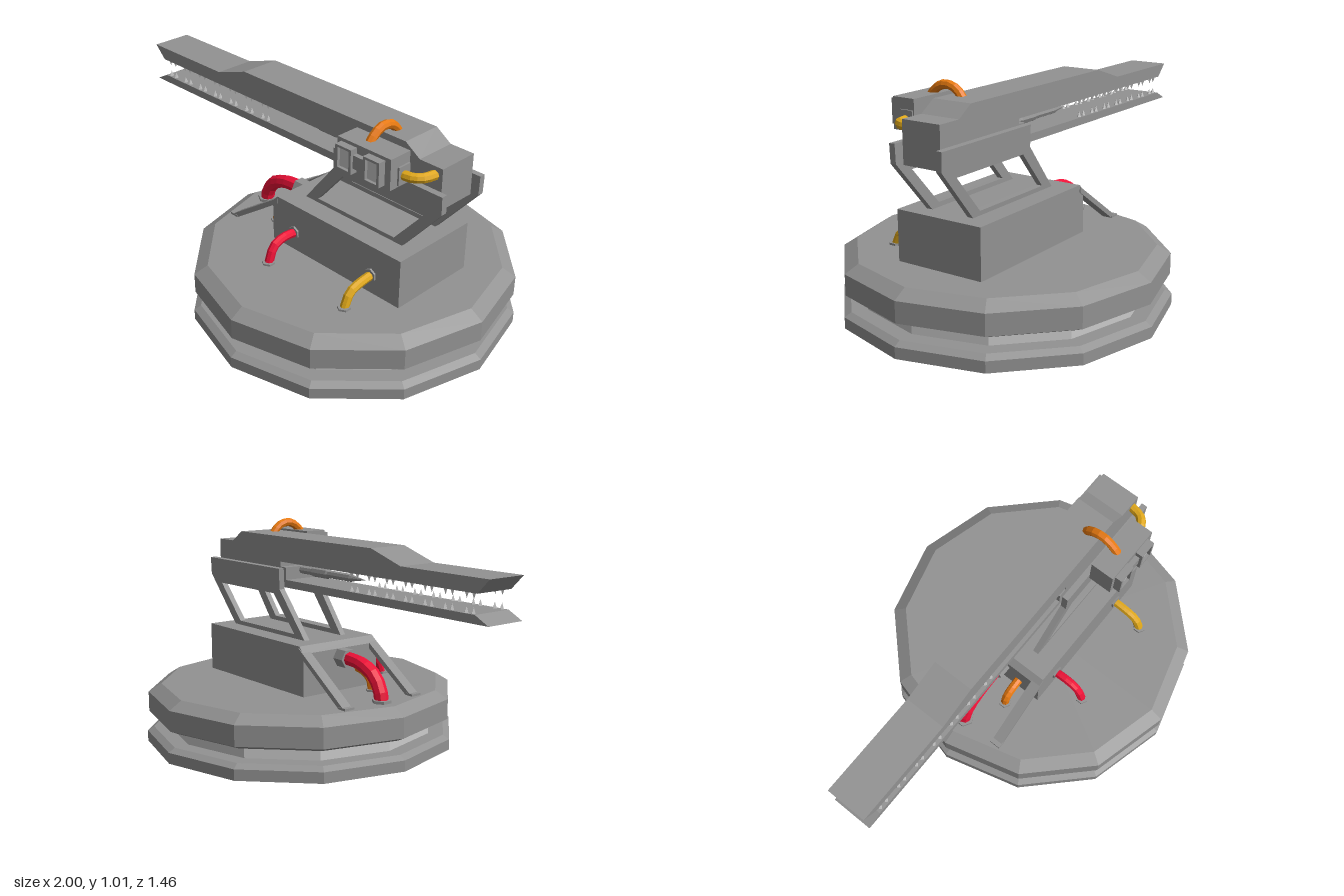
import * as THREE from 'three';

const paint = (c) => new THREE.MeshStandardMaterial({ color: c, flatShading: true });
const grey = paint(0x929292), pale = paint(0xcccccc);
const red = paint(0xf01238), orange = paint(0xe87a10), yellow = paint(0xe0a81a);
const V = (x, y, z) => new THREE.Vector3(x, y, z);
const toPoints = (list) => list.map(([x, y]) => new THREE.Vector2(x, y));

export function createModel() {
  const model = new THREE.Group();

  const add = (name, geometry, material = grey) => {
    const mesh = new THREE.Mesh(geometry, material);
    mesh.name = name;
    model.add(mesh);
    return mesh;
  };
  // box given by its limits on each axis
  const box = (name, x0, x1, y0, y1, z0, z1, material) =>
    add(name, new THREE.BoxGeometry(x1 - x0, y1 - y0, z1 - z0)
      .translate((x0 + x1) / 2, (y0 + y1) / 2, (z0 + z1) / 2), material);
  // side outline extruded between two z values
  const slab = (name, outline, z0, z1, hole) => {
    const shape = new THREE.Shape(toPoints(outline));
    if (hole) shape.holes.push(new THREE.Path(toPoints(hole)));
    return add(name, new THREE.ExtrudeGeometry(shape, { depth: z1 - z0, bevelEnabled: false })
      .translate(0, 0, z0));
  };
  const hose = (name, points, radius, material) =>
    add(name, new THREE.TubeGeometry(new THREE.CatmullRomCurve3(points), 7, radius, 8), material);
  const collar = (name, x, y, z, r, h, axis = 'y') => {
    const g = new THREE.CylinderGeometry(r, r, h, 6);
    if (axis === 'x') g.rotateZ(Math.PI / 2);
    if (axis === 'z') g.rotateX(Math.PI / 2);
    return add(name, g.translate(x, y, z));
  };
  const ring = (name, profile, material) =>
    add(name, new THREE.LatheGeometry(toPoints(profile), 12), material).position.x = 0.267;

  // twelve-sided turntable: two discs around a pale core
  ring('lowerDisc', [[0, 0], [0.73, 0], [0.73, 0.05], [0.7, 0.068], [0, 0.068]]);
  ring('turntableCore', [[0.63, 0.06], [0.63, 0.135]], pale);
  ring('upperDisc', [[0, 0.126], [0.68, 0.126], [0.72, 0.145], [0.72, 0.238], [0.66, 0.275], [0, 0.275]]);

  // pedestal with a chamfered top left edge
  slab('pedestal', [[-0.03, 0.27], [0.72, 0.27], [0.72, 0.5], [0, 0.5], [-0.03, 0.47]], -0.213, 0.213);

  // long jawed beam
  slab('jawBeam', [
    [-1, 0.898], [-0.94, 0.838], [0.295, 0.838], [0.295, 0.815], [0.255, 0.815], [0.255, 0.757],
    [-0.93, 0.757], [-1, 0.722], [0.805, 0.722], [0.805, 0.905], [0.69, 0.905],
    [0.615, 0.955], [-0.34, 0.955], [-0.52, 0.898],
  ], -0.095, 0.093);

  // teeth in pairs along both edges of both jaws
  const tooth = new THREE.ConeGeometry(0.012, 0.03, 4);
  for (let i = 0; i < 7; i++) {
    for (const dx of [0, 0.037]) {
      for (const z of [-0.08, 0.078]) {
        const x = -0.91 + i * 0.112 + dx;
        add('lowerTooth', tooth, pale).position.set(x, 0.768, z);
        const upper = add('upperTooth', tooth, pale);
        upper.position.set(x, 0.827, z);
        upper.rotation.x = Math.PI;
      }
    }
  }

  // pointed rod in the middle of the jaws
  add('pointedRod', new THREE.LatheGeometry(toPoints([
    [0, 0], [0.018, 0], [0.018, 0.09], [0.023, 0.1], [0.023, 0.2], [0.018, 0.21],
    [0.018, 0.36], [0.013, 0.38], [0, 0.46],
  ]), 8).rotateZ(Math.PI / 2)).position.set(0.26, 0.797, 0);

  for (const s of [-1, 1]) {
    // lifting frame, leaning slightly outward
    const frame = slab('liftFrame', [
      [0.08, -0.155], [0.64, -0.155], [0.84, 0.08], [0.84, 0.162], [0.26, 0.162], [0.26, 0.065],
    ], -0.014, 0.014, [[0.16, -0.13], [0.31, 0.042], [0.75, 0.042], [0.6, -0.13]]);
    frame.position.set(0, 0.65, s * 0.111);
    frame.rotation.x = s * 0.038;
    // brace from pedestal down to turntable
    slab('brace', [[-0.325, 0.27], [-0.285, 0.27], [0, 0.465], [0, 0.492]],
      s * 0.193 - 0.024, s * 0.193 + 0.024);
    box('braceFoot', -0.325, -0.28, 0.27, 0.285, s * 0.193 - 0.026, s * 0.193 + 0.026);
  }

  // sight unit on the left side of the beam
  box('sightBody', 0.4, 0.68, 0.822, 0.957, 0.14, 0.25);
  for (const x of [0.462, 0.609]) {
    slab('sightRim', [[x - 0.042, 0.835], [x + 0.042, 0.835], [x + 0.042, 0.943], [x - 0.042, 0.943]], 0.25, 0.284,
      [[x - 0.03, 0.845], [x - 0.03, 0.933], [x + 0.03, 0.933], [x + 0.03, 0.845]]);
    box('sightLens', x - 0.03, x + 0.03, 0.845, 0.933, 0.25, 0.27, pale);
  }
  box('sightBridge', 0.504, 0.567, 0.86, 0.918, 0.25, 0.272);
  box('sightSocket', 0.68, 0.688, 0.83, 0.91, 0.145, 0.21);

  // hoses on the beam
  hose('topHose', [V(0.515, 0.945, 0.025), V(0.515, 0.98, 0.055), V(0.515, 0.996, 0.108),
    V(0.515, 0.98, 0.155), V(0.515, 0.945, 0.19)], 0.02, orange);
  hose('rearHose', [V(0.675, 0.868, 0.18), V(0.72, 0.868, 0.175), V(0.755, 0.868, 0.145),
    V(0.77, 0.868, 0.08)], 0.021, yellow);

  // hoses from the pedestal front to the turntable
  for (const [x, rise, material] of [[0.108, 0.012, red], [0.565, 0, yellow]]) {
    hose('frontHose', [V(x, 0.362, 0.21), V(x, 0.356 + rise, 0.27), V(x, 0.336 + rise, 0.335),
      V(x, 0.27, 0.37)], 0.02, material);
    collar('hoseSocket', x, 0.365, 0.216, 0.03, 0.012, 'z');
    collar('hoseFoot', x, 0.278, 0.37, 0.03, 0.012);
  }

  // hoses on the pedestal end
  hose('endHoseLarge', [V(-0.07, 0.43, 0), V(-0.16, 0.425, 0), V(-0.25, 0.39, 0), V(-0.295, 0.335, 0),
    V(-0.31, 0.27, 0)], 0.032, red);
  collar('largeSocket', -0.06, 0.43, 0, 0.045, 0.06, 'x');
  collar('largeFoot', -0.31, 0.28, 0, 0.045, 0.016);
  hose('endHoseSmall', [V(-0.03, 0.365, 0.1), V(-0.08, 0.355, 0.1), V(-0.12, 0.325, 0.1),
    V(-0.132, 0.27, 0.1)], 0.02, orange);
  collar('smallFoot', -0.132, 0.278, 0.1, 0.03, 0.012);

  return model;
}
